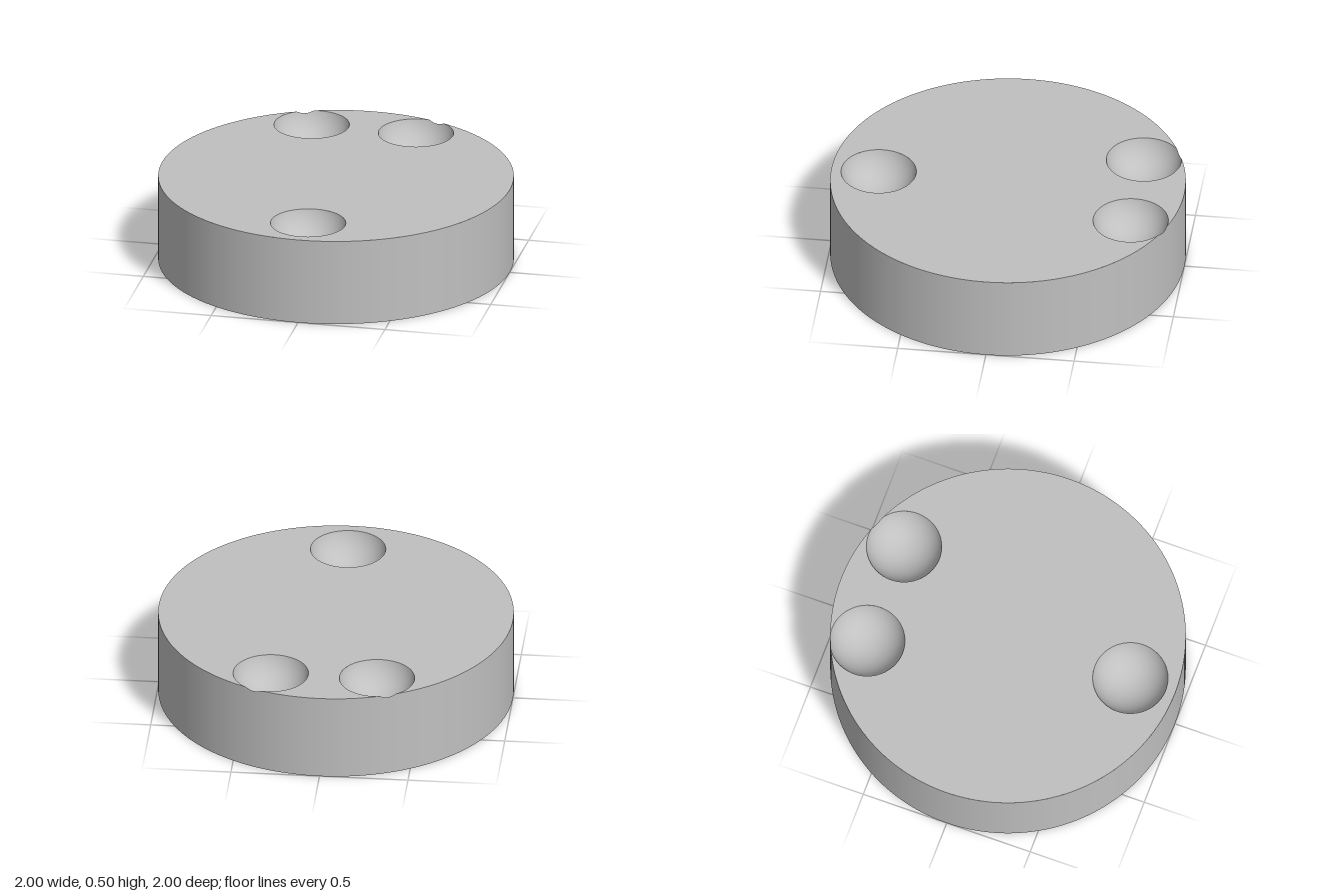
import * as THREE from 'three';

const H = 0.5;                       // disc height
const RIM = 0.212;                   // socket radius at the top face
const LIFT = 0.055;                  // socket sphere centre above the top face
const BALL = Math.hypot(RIM, LIFT);
const spots = [[0.3, -0.733], [-0.3, -0.733], [0, 0.733]]; // x, z

// depth of the spherical socket at distance r from its axis
const bowlY = (r) => H + LIFT - Math.sqrt(BALL * BALL - r * r);

export function createModel() {
  const group = new THREE.Group();
  const grey = new THREE.MeshStandardMaterial({ color: 0xc0c0c0 });
  grey.name = 'light grey';
  const inner = grey.clone();
  inner.name = 'light grey recess';
  inner.side = THREE.BackSide;
  const add = (name, geo, mat = grey) => {
    const mesh = new THREE.Mesh(geo, mat);
    mesh.name = name;
    group.add(mesh);
    return mesh;
  };

  // side wall, its top edge dipping where a back socket breaks the rim
  const wall = new THREE.CylinderGeometry(1, 1, H, 512, 1, true).translate(0, H / 2, 0);
  const wp = wall.attributes.position;
  for (let i = 0; i < wp.count; i++) {
    if (wp.getY(i) < H / 2) continue;
    for (const [x, z] of spots) {
      const r = Math.hypot(wp.getX(i) - x, wp.getZ(i) - z);
      if (r < RIM) wp.setY(i, bowlY(r));
    }
  }
  add('sideWall', wall);

  // top face: outline runs round the rim and around the two back sockets
  const D = Math.hypot(...spots[0]);
  const beta = Math.acos((1 + D * D - RIM * RIM) / (2 * D));
  const gamma = Math.acos((1 - D * D - RIM * RIM) / (2 * D * RIM));
  const aR = Math.atan2(0.733, 0.3), aL = Math.PI - aR;
  const top = new THREE.Shape();
  top.absarc(0, 0, 1, aL + beta, aR - beta + Math.PI * 2, false);
  top.absarc(0.3, 0.733, RIM, aR - gamma, aR + gamma, true);
  top.absarc(0, 0, 1, aR + beta, aL - beta, false);
  top.absarc(-0.3, 0.733, RIM, aL - gamma, aL + gamma, true);
  top.holes.push(new THREE.Path().absarc(0, -0.733, RIM, 0, Math.PI * 2, true));
  add('topFace', new THREE.ShapeGeometry(top, 100).rotateX(-Math.PI / 2).translate(0, H, 0));

  // spherical sockets, trimmed to stay inside the disc
  spots.forEach(([x, z], n) => {
    const geo = new THREE.RingGeometry(0, 1, 128, 12).rotateX(-Math.PI / 2);
    const p = geo.attributes.position, nor = geo.attributes.normal;
    for (let i = 0; i < p.count; i++) {
      const t = Math.hypot(p.getX(i), p.getZ(i));
      const a = Math.atan2(p.getZ(i), p.getX(i)), c = Math.cos(a), s = Math.sin(a);
      const b = x * c + z * s;
      const edge = -b + Math.sqrt(b * b + 1 - x * x - z * z);
      const r = Math.min(RIM, edge) * Math.sin(t * Math.PI / 2), y = bowlY(r);
      p.setXYZ(i, x + r * c, y, z + r * s);
      nor.setXYZ(i, -r * c / BALL, (H + LIFT - y) / BALL, -r * s / BALL);
    }
    add('ballSocket' + (n + 1), geo);
  });

  // bottom face with a centre recess and three small holes
  const recesses = [[0, 0, 0.343, 0.166], ...spots.map(([x, z]) => [x, z, 0.133, 0.166])];
  const bottom = new THREE.Shape().absarc(0, 0, 1, 0, Math.PI * 2, false);
  for (const [x, z, r] of recesses) {
    bottom.holes.push(new THREE.Path().absarc(x, z, r, 0, Math.PI * 2, true));
  }
  add('bottomFace', new THREE.ShapeGeometry(bottom, 100).rotateX(Math.PI / 2));

  recesses.forEach(([x, z, r, d], n) => {
    const name = n === 0 ? 'centreRecess' : 'bottomHole' + n;
    add(name + 'Wall', new THREE.CylinderGeometry(r, r, d, 96, 1, true).translate(x, d / 2, z), inner);
    add(name + 'Ceiling', new THREE.CircleGeometry(r, 96).rotateX(Math.PI / 2).translate(x, d, z));
  });

  return group;
}
